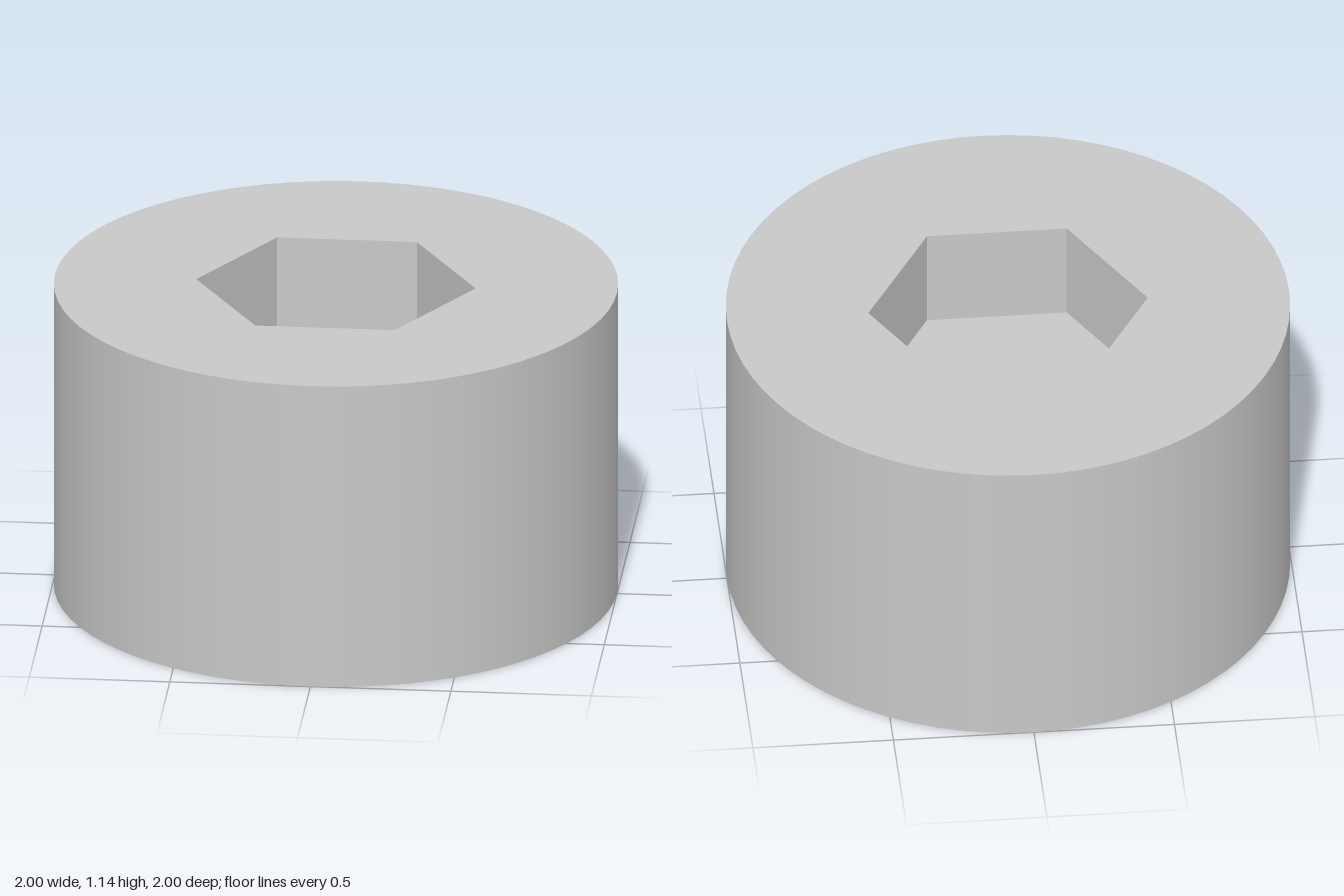
import * as THREE from 'three';

const RADIUS = 1;
const HEIGHT = 1.143;
const HEX_RADIUS = 0.497;
const HEX_DEPTH = 0.373;
const SIDES = 72;

// Flat polygon outline, with a corner on +x
function polygonPoints(radius, sides) {
  return Array.from({ length: sides }, (_, i) => {
    const a = (i / sides) * Math.PI * 2;
    return new THREE.Vector2(Math.cos(a) * radius, Math.sin(a) * radius);
  });
}

export function createModel() {
  const group = new THREE.Group();
  group.name = 'socketHead';
  const grey = new THREE.MeshStandardMaterial({ color: 0xc8c8c8, side: THREE.DoubleSide });
  grey.name = 'light grey';

  const add = (name, geometry, y) => {
    const mesh = new THREE.Mesh(geometry, grey);
    mesh.name = name;
    mesh.position.y = y;
    group.add(mesh);
  };

  // Thin round wall, open underneath
  const wall = new THREE.CylinderGeometry(RADIUS, RADIUS, HEIGHT, SIDES, 1, true);
  add('outerWall', wall, HEIGHT / 2);

  // Top face with the hexagonal opening
  const top = new THREE.Shape(polygonPoints(RADIUS, SIDES));
  top.holes.push(new THREE.Path(polygonPoints(HEX_RADIUS, 6).reverse()));
  add('topFace', new THREE.ShapeGeometry(top).rotateX(-Math.PI / 2), HEIGHT);

  // Six flat socket walls
  const socket = new THREE.CylinderGeometry(HEX_RADIUS, HEX_RADIUS, HEX_DEPTH, 6, 1, true)
    .rotateY(Math.PI / 6)
    .toNonIndexed();
  socket.computeVertexNormals();
  add('socketWalls', socket, HEIGHT - HEX_DEPTH / 2);

  // Socket floor
  const floor = new THREE.ShapeGeometry(new THREE.Shape(polygonPoints(HEX_RADIUS, 6)));
  add('socketFloor', floor.rotateX(-Math.PI / 2), HEIGHT - HEX_DEPTH);

  return group;
}
